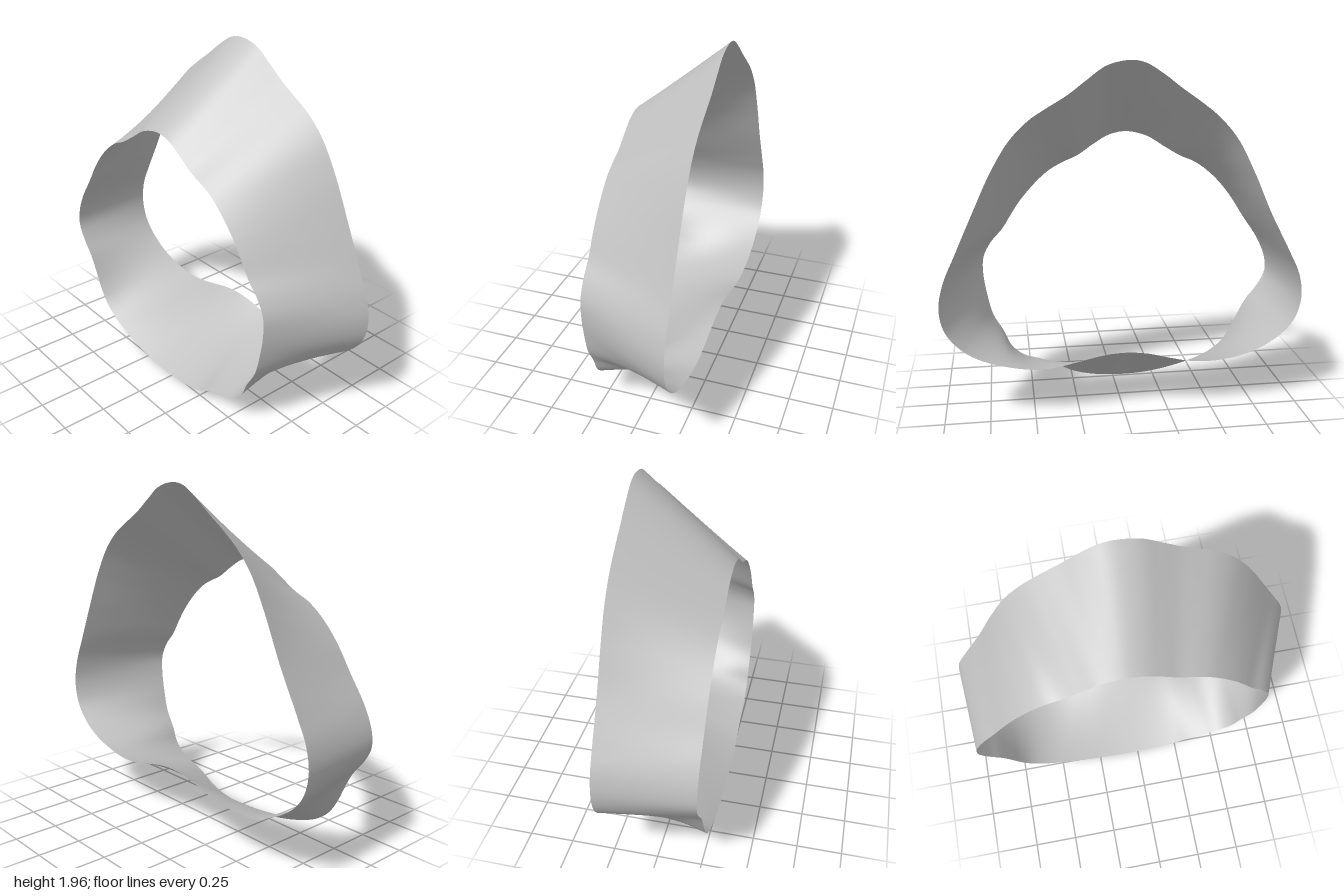
import * as THREE from 'three';

// Rim outlines as x, y pairs, clockwise from the crown
const BACK_RIM = [
  -0.02, 1.957, 0.1, 1.93, 0.2, 1.86, 0.3, 1.785, 0.4, 1.725, 0.5, 1.66, 0.6, 1.56, 0.7, 1.40,
  0.8, 1.19, 0.9, 0.97, 0.97, 0.81, 0.997, 0.67, 0.97, 0.54, 0.88, 0.43, 0.78, 0.37, 0.66, 0.33,
  0.5, 0.302, 0.4, 0.306, 0.25, 0.335, 0.12, 0.363, 0, 0.372, -0.12, 0.36, -0.25, 0.327,
  -0.37, 0.3, -0.48, 0.293, -0.6, 0.304, -0.7, 0.328, -0.79, 0.365, -0.9, 0.44, -0.97, 0.53,
  -0.999, 0.65, -0.98, 0.78, -0.92, 0.91, -0.8, 1.14, -0.7, 1.36, -0.6, 1.545, -0.5, 1.66,
  -0.4, 1.74, -0.3, 1.81, -0.2, 1.885, -0.1, 1.945,
];
const FRONT_RIM = [
  -0.08, 1.527, 0.02, 1.508, 0.12, 1.45, 0.2, 1.395, 0.3, 1.35, 0.37, 1.31, 0.45, 1.24,
  0.53, 1.15, 0.58, 1.08, 0.65, 0.97, 0.72, 0.89, 0.765, 0.80, 0.77, 0.7, 0.75, 0.56, 0.72, 0.44,
  0.66, 0.33, 0.62, 0.24, 0.55, 0.175, 0.45, 0.14, 0.36, 0.105, 0.25, 0.047, 0.12, 0.015,
  -0.07, 0.002, -0.25, 0.015, -0.45, 0.06, -0.6, 0.12, -0.69, 0.19, -0.75, 0.28, -0.79, 0.365,
  -0.84, 0.46, -0.91, 0.55, -0.955, 0.64, -0.95, 0.73, -0.9, 0.85, -0.8, 1.0, -0.7, 1.15,
  -0.6, 1.26, -0.5, 1.335, -0.4, 1.38, -0.3, 1.44, -0.2, 1.5,
];
const CENTRE_Y = 0.85, HALF_DEPTH = 0.265;
const AROUND = 240, ACROSS = 10;

// Smooth closed rim, resampled at even angles about the ring's centre
function sampleRim(flat) {
  const pts = [];
  for (let i = 0; i < flat.length; i += 2) pts.push(new THREE.Vector3(flat[i], flat[i + 1], 0));
  const dense = new THREE.CatmullRomCurve3(pts, true).getPoints(1600);
  const TAU = Math.PI * 2;
  const angles = dense.map((p) => (Math.atan2(p.x, p.y - CENTRE_Y) + TAU) % TAU);
  const rim = [];
  for (let i = 0; i < AROUND; i++) {
    const target = (i / AROUND) * TAU;
    for (let j = 0; j < dense.length - 1; j++) {
      let span = angles[j + 1] - angles[j];
      if (span < -Math.PI) span += TAU;
      const offset = (target - angles[j] + TAU) % TAU;
      if (span > 0 && offset <= span) {
        rim.push(dense[j].clone().lerp(dense[j + 1], offset / span));
        break;
      }
    }
  }
  return rim;
}

// Straight strips join the front rim to the back rim
function bandGeometry() {
  const front = sampleRim(FRONT_RIM), back = sampleRim(BACK_RIM);
  const positions = [], indices = [];
  const n = Math.min(front.length, back.length);
  for (let i = 0; i < n; i++) {
    for (let j = 0; j <= ACROSS; j++) {
      const p = front[i].clone().lerp(back[i], j / ACROSS);
      positions.push(p.x, p.y, HALF_DEPTH * (1 - (2 * j) / ACROSS));
    }
  }
  const row = ACROSS + 1;
  for (let i = 0; i < n; i++) {
    for (let j = 0; j < ACROSS; j++) {
      const a = i * row + j, b = ((i + 1) % n) * row + j;
      indices.push(a, b, a + 1, b, b + 1, a + 1);
    }
  }
  const geometry = new THREE.BufferGeometry();
  geometry.setAttribute('position', new THREE.Float32BufferAttribute(positions, 3));
  geometry.setIndex(indices);
  geometry.computeVertexNormals();
  return geometry;
}

export function createModel() {
  const group = new THREE.Group();
  group.name = 'wavyRing';
  const grey = new THREE.MeshStandardMaterial({ color: 0xc0c0c0, side: THREE.DoubleSide });
  grey.name = 'lightGrey';
  const band = new THREE.Mesh(bandGeometry(), grey);
  band.name = 'band';
  group.add(band);
  return group;
}
